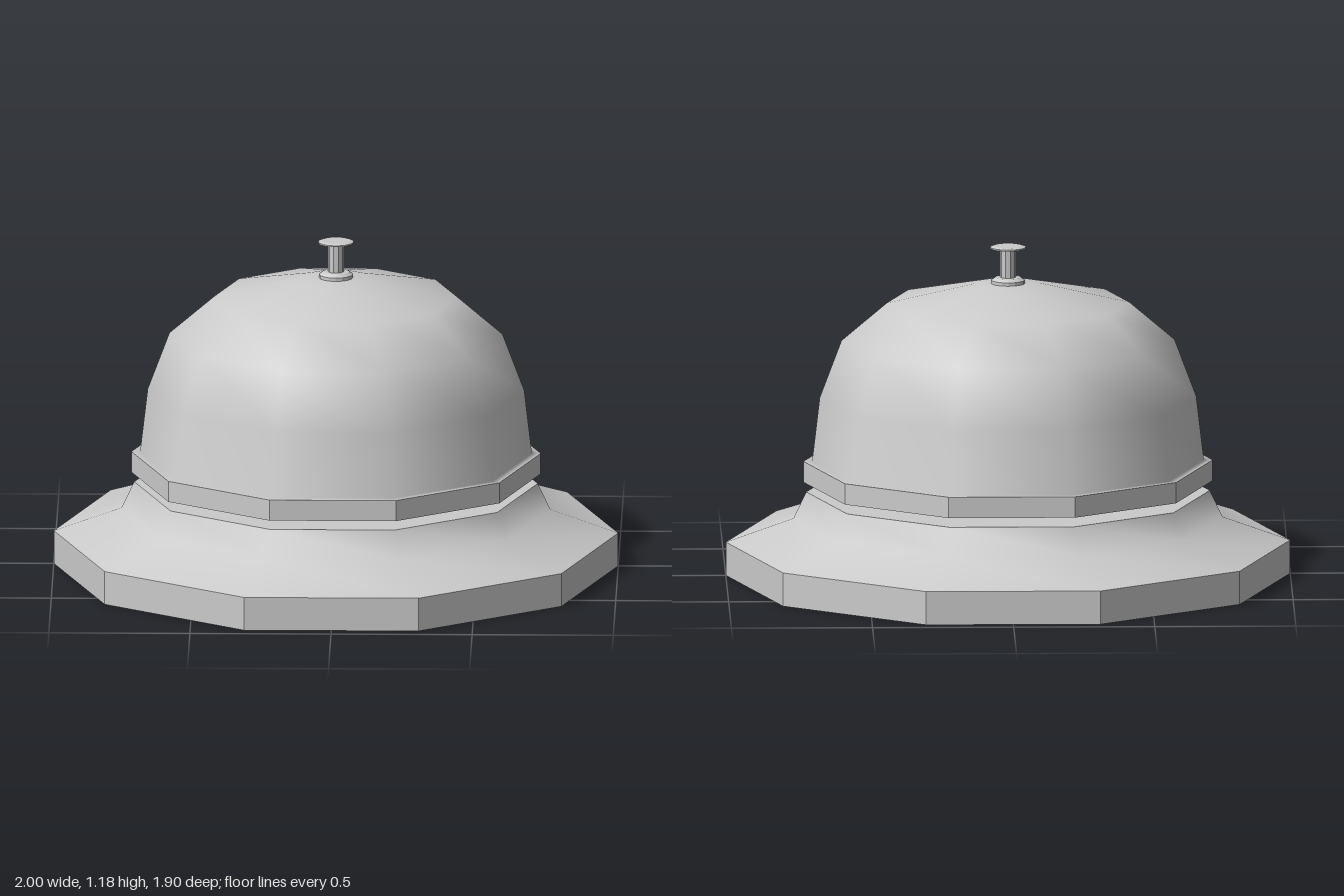
import * as THREE from 'three';

export function createModel() {
  const group = new THREE.Group();
  const smooth = new THREE.MeshStandardMaterial({ color: 0xcccccc });
  const flat = new THREE.MeshStandardMaterial({ color: 0xcccccc, flatShading: true });

  // Revolves a [radius, height] profile; a corner always points along +x
  function turned(name, profile, material, sides = 10) {
    const points = profile.map(([r, y]) => new THREE.Vector2(r, y));
    const mesh = new THREE.Mesh(new THREE.LatheGeometry(points, sides, Math.PI / 2), material);
    mesh.name = name;
    group.add(mesh);
  }

  // Base: faceted plinth, smooth shoulder, flat deck
  turned('basePlinth', [[0, 0], [1, 0], [1, 0.12]], flat);
  turned('baseShoulder', [[1, 0.12], [0.76, 0.205], [0.715, 0.3]], smooth);
  turned('baseDeck', [[0.715, 0.3], [0, 0.3]], flat);

  // Post carrying the bell
  turned('centrePost', [[0.045, 0.3], [0.045, 1.04]], flat);

  // Bell: faceted rim, smooth outer dome, hollow inside
  turned('bellRim', [[0.67, 0.335], [0.725, 0.335], [0.725, 0.41]], flat);
  turned('bellDome', [
    [0.725, 0.41], [0.694, 0.41], [0.667, 0.64], [0.59, 0.845],
    [0.43, 0.98], [0.115, 1.05], [0, 1.05],
  ], smooth);
  turned('bellInside', [
    [0, 1.03], [0.11, 1.03], [0.41, 0.96], [0.565, 0.83],
    [0.64, 0.63], [0.67, 0.41], [0.67, 0.335],
  ], smooth);

  // Plunger: collar, stem and thin cap
  turned('plungerCollar', [[0.06, 1.045], [0.06, 1.062], [0.045, 1.072], [0, 1.072]], flat, 16);
  turned('plungerStem', [[0.028, 1.06], [0.028, 1.178]], flat, 10);
  turned('plungerCap', [[0, 1.174], [0.063, 1.176], [0.063, 1.181], [0.05, 1.185], [0, 1.185]], flat, 20);

  return group;
}
